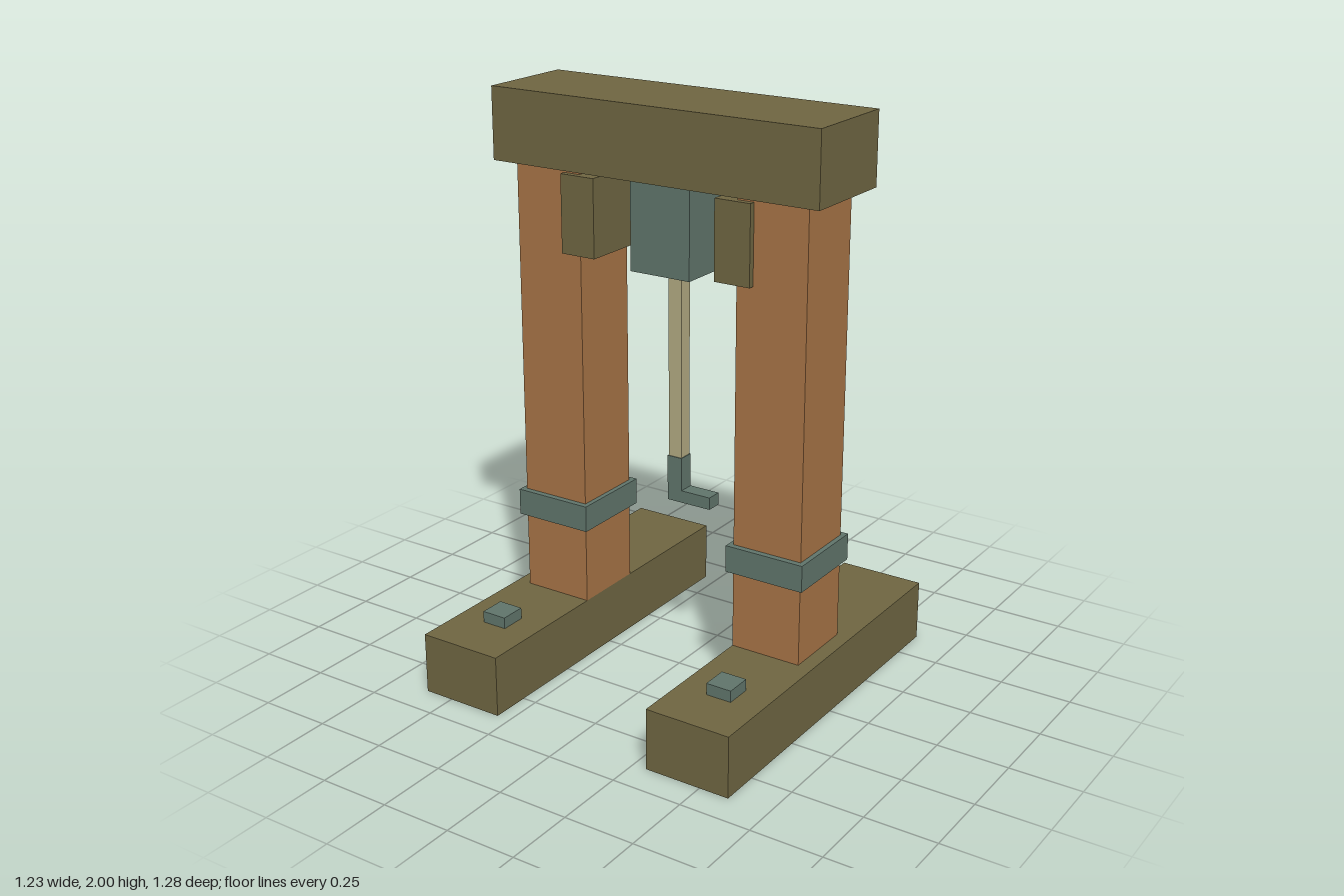
import * as THREE from 'three';

const material = (name, color) => {
  const m = new THREE.MeshStandardMaterial({ color });
  m.name = name;
  return m;
};

export function createModel() {
  const group = new THREE.Group();
  const darkWood = material('dark wood', 0x6e6541);
  const timber = material('orange timber', 0xa57245);
  const iron = material('grey green iron', 0x5f746a);
  const rope = material('pale rope', 0xb0a880);

  // Box given by its limits on each axis
  const box = (name, mat, [x0, x1], [y0, y1], [z0, z1]) => {
    const mesh = new THREE.Mesh(new THREE.BoxGeometry(x1 - x0, y1 - y0, z1 - z0), mat);
    mesh.position.set((x0 + x1) / 2, (y0 + y1) / 2, (z0 + z1) / 2);
    mesh.name = name;
    group.add(mesh);
  };

  // Feet, posts and fittings, mirrored on both sides
  for (const [side, s] of [['left', 1], ['right', -1]]) {
    const span = (a, b) => (s > 0 ? [a, b] : [-b, -a]);
    box(`${side}Foot`, darkWood, span(0.3, 0.605), [0, 0.215], [-0.64, 0.64]);
    box(`${side}Post`, timber, span(0.3, 0.553), [0.215, 1.755], [-0.131, 0.131]);
    box(`${side}Strap`, iron, span(0.283, 0.57), [0.49, 0.583], [-0.152, 0.152]);
    box(`${side}Bracket`, darkWood, span(0.23, 0.36), [1.47, 1.737], [-0.152, 0.152]);
    box(`${side}FootBolt`, iron, span(0.407, 0.498), [0.215, 0.255], [0.366, 0.458]);
  }

  // Crossbeam and the pulley block beneath it
  box('crossbeam', darkWood, [-0.613, 0.613], [1.755, 2], [-0.178, 0.178]);
  box('pulleyBlock', iron, [-0.113, 0.113], [1.44, 1.745], [-0.113, 0.113]);

  // Hanging rope and hook
  box('rope', rope, [-0.025, 0.025], [0.79, 1.44], [-0.025, 0.025]);
  box('hookShank', iron, [-0.028, 0.028], [0.63, 0.79], [-0.028, 0.028]);
  box('hookTip', iron, [0.028, 0.14], [0.63, 0.673], [-0.028, 0.028]);

  return group;
}
